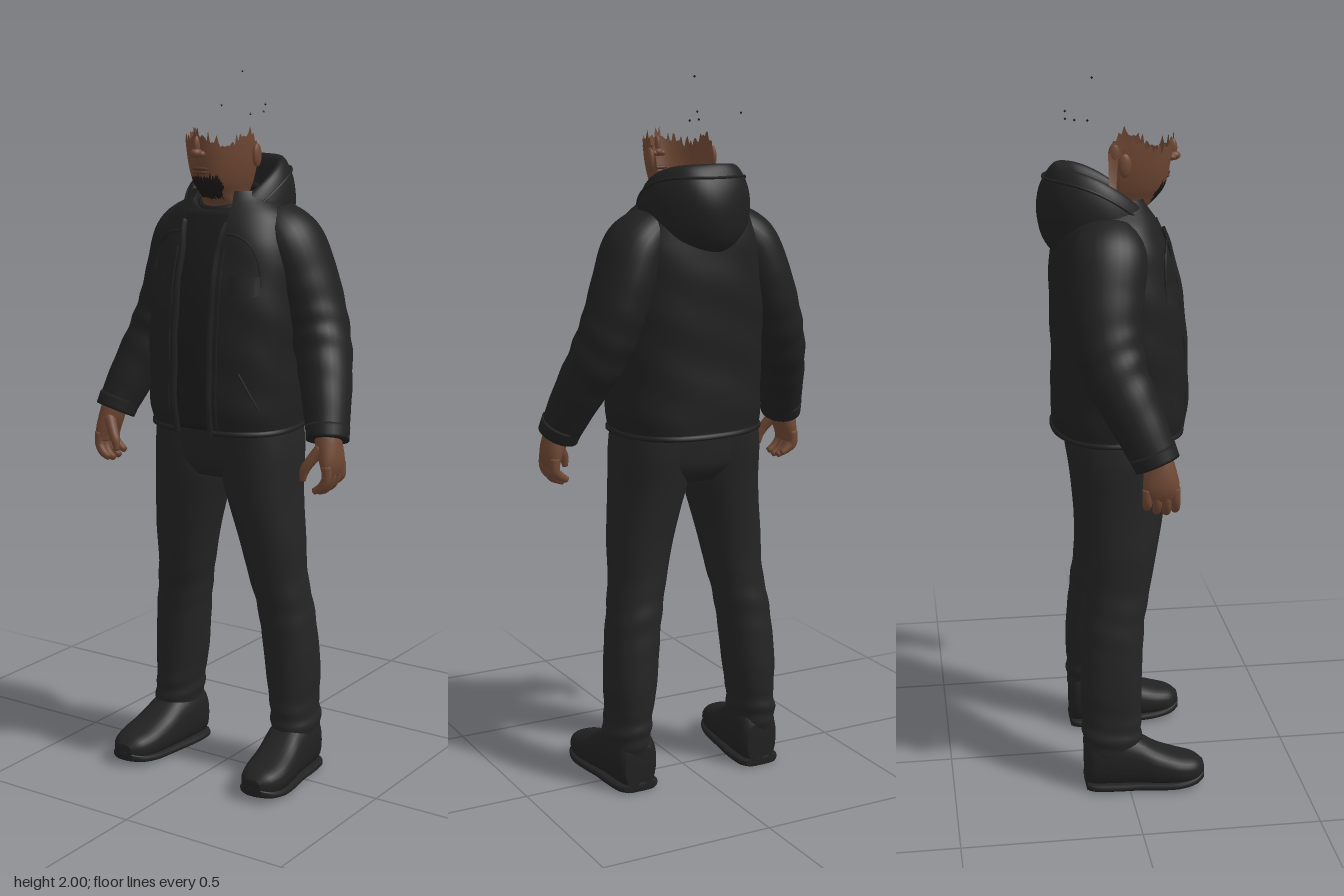
import * as THREE from 'three';

const mat = (name, color) => {
  const m = new THREE.MeshStandardMaterial({ color, side: THREE.DoubleSide });
  m.name = name;
  return m;
};

// Catmull-Rom interpolation through rows of numbers, v in 0..1
function sample(rows, v) {
  const n = rows.length, p = Math.min(Math.max(v, 0), 1) * (n - 1);
  const i = Math.min(Math.floor(p), n - 2), f = p - i;
  return rows[0].map((_, k) => {
    const b = rows[i][k], c = rows[i + 1][k];
    const a = i > 0 ? rows[i - 1][k] : b, d = i + 2 < n ? rows[i + 2][k] : c;
    return b + 0.5 * f * (c - a + f * (2 * a - 5 * b + 4 * c - d + f * (3 * (b - c) + d - a)));
  });
}

// Surface from a rule f(u, v) -> [x, y, z]; pick() sends faces to a second material
function grid(f, nu, nv, closed = false, pick = null) {
  const pos = [], main = [], other = [], w = closed ? nu : nu + 1;
  for (let j = 0; j <= nv; j++) for (let i = 0; i < w; i++) pos.push(...f(i / nu, j / nv));
  for (let j = 0; j < nv; j++) for (let i = 0; i < nu; i++) {
    const a = j * w + i, b = j * w + (i + 1) % w, c = a + w, d = b + w;
    (pick && pick(i / nu, j / nv) ? other : main).push(a, b, d, a, d, c);
  }
  const g = new THREE.BufferGeometry();
  g.setAttribute('position', new THREE.Float32BufferAttribute(pos, 3));
  g.setIndex([...main, ...other]);
  if (pick) { g.addGroup(0, main.length, 0); g.addGroup(main.length, other.length, 1); }
  g.computeVertexNormals();
  return g;
}

const pw = (s, e) => Math.sign(s) * Math.abs(s) ** (2 / e);

// Closed, capped body along rows of [x, y, z, sideRadius, frontRadius]
function body(rows, { cols = 28, steps = 30, e = 2, axis = null, ref = [0, 0, 1], bump = () => 0 } = {}) {
  const R = new THREE.Vector3(...ref);
  return grid((u, j) => {
    const k = Math.round(j * (steps + 2)), cap = k === 0 || k === steps + 2;
    const v = Math.min(Math.max(k - 1, 0), steps) / steps;
    const [x, y, z, a, b] = sample(rows, v);
    const p = sample(rows, v - 0.02), q = sample(rows, v + 0.02);
    const T = axis ? new THREE.Vector3(...axis) : new THREE.Vector3(q[0] - p[0], q[1] - p[1], q[2] - p[2]).normalize();
    const N = R.clone().addScaledVector(T, -R.dot(T)).normalize();
    const S = new THREE.Vector3().crossVectors(T, N);
    const t = u * Math.PI * 2, r = cap ? 0 : 1 + bump(t, v);
    return new THREE.Vector3(x, y, z).addScaledVector(S, a * r * pw(Math.sin(t), e))
      .addScaledVector(N, b * r * pw(Math.cos(t), e)).toArray();
  }, cols, steps + 2, true);
}

function flip(geo) {
  const g = geo.clone().scale(-1, 1, 1), ix = g.index.array;
  for (let i = 0; i < ix.length; i += 3) [ix[i], ix[i + 1]] = [ix[i + 1], ix[i]];
  g.computeVertexNormals();
  return g;
}

// Jacket surface: rows of [halfWidth, front, back] every 0.06 from y 1.02 to 1.68
const jacketRows = [[.212, .172, -.183], [.22, .183, -.188], [.22, .185, -.187], [.22, .184, -.186],
  [.222, .182, -.187], [.223, .178, -.189], [.222, .172, -.191], [.22, .162, -.191],
  [.215, .148, -.188], [.205, .13, -.182], [.175, .105, -.168], [.11, .07, -.14]];
function jacketPoint(t, y, off = 0) {
  const [rx, f, b] = sample(jacketRows, (y - 1.02) / .66), c = (f + b) / 2;
  const fold = .003 * Math.sin(3 * t + y * 24) * Math.sin(y * 17 + t);
  return [(rx + off + fold) * pw(Math.sin(t), 2.4), y, c + ((f - b) / 2 + off + fold) * pw(Math.cos(t), 2.4)];
}
const gap = y => .2 + .3 * Math.max(0, (y - 1.5) / .18) ** 2;

// Head surface: rows of [halfWidth, front] every 0.03 from y 1.58 to 1.88
const headRows = [[.07, .06], [.068, .062], [.066, .07], [.062, .102], [.073, .126], [.082, .136],
  [.088, .142], [.091, .147], [.093, .151], [.093, .153], [.09, .152]];
function headPoint(t, y) {
  const [rx, f] = sample(headRows, (y - 1.58) / .3), c = Math.cos(t);
  return [rx * Math.sin(t), y, c > 0 ? f * pw(c, 2.2) : .08 * c];
}

export function createModel() {
  const model = new THREE.Group();
  const jacketMat = mat('jacket black', 0x202020), shirtMat = mat('shirt black', 0x1c1c1d);
  const trouserMat = mat('trouser charcoal', 0x242425), shoeMat = mat('shoe black', 0x212121);
  const skinMat = mat('skin brown', 0x6e4733), beardMat = mat('beard black', 0x1c1918);
  const lipMat = mat('lip brown', 0x593629);

  const add = (name, geo, m) => {
    const mesh = new THREE.Mesh(geo, m);
    mesh.name = name;
    model.add(mesh);
    return mesh;
  };
  const pair = (name, geo, m) => { add('left' + name, geo, m); add('right' + name, flip(geo), m); };
  const cord = (pts, r, n = 40, closed = false) => new THREE.TubeGeometry(
    new THREE.CatmullRomCurve3(pts.map(p => new THREE.Vector3(...p)), closed), n, r, 6, closed);

  // Trousers: hips and two creased legs
  add('hips', body([[0, .885, -.005, .1, .1], [0, .93, -.01, .19, .128], [0, 1, -.01, .212, .138],
    [0, 1.08, -.008, .208, .145]], { e: 2.5, axis: [0, 1, 0], steps: 14, cols: 40 }), trouserMat);
  pair('TrouserLeg', body([
    [.207, .11, -.045, .058, .078], [.206, .16, -.046, .064, .085], [.2, .22, -.046, .063, .085],
    [.195, .3, -.047, .072, .087], [.187, .4, -.042, .075, .086], [.175, .5, -.034, .076, .085],
    [.157, .6, -.02, .079, .09], [.145, .7, -.011, .089, .1], [.128, .8, -.006, .098, .114],
    [.115, .88, -.006, .107, .124], [.111, .97, -.01, .108, .134], [.108, 1.05, -.01, .1, .138]],
    { axis: [0, 1, 0], steps: 90, cols: 32, e: 2.2,
      bump: (t, v) => .03 * Math.sin(v * 75 + 2 * Math.sin(t + 1)) * (Math.exp(-((v - .1) ** 2) / .01) + .6 * Math.exp(-((v - .46) ** 2) / .006)) }),
  trouserMat);

  // Shoes: upper swept from heel to toe, with a slightly wider sole
  const shoeRows = [[.2, .07, -.122, .045, .062], [.2, .085, -.1, .06, .083], [.203, .09, -.04, .065, .088],
    [.208, .08, .02, .064, .078], [.216, .064, .08, .066, .058], [.222, .054, .14, .066, .045],
    [.224, .049, .19, .052, .036], [.224, .046, .217, .025, .02]];
  pair('Shoe', body(shoeRows, { axis: [0, 0, 1], ref: [0, 1, 0], e: 2.5, steps: 36 }), shoeMat);
  pair('Sole', body(shoeRows.map(([x, y, z, a], i) => [x, [.013, .013, .013, .014, .015, .018, .024, .032][i], z, a + .004, .013]),
    { axis: [0, 0, 1], ref: [0, 1, 0], e: 3.5, steps: 36 }), shoeMat);

  // Shirt seen through the open jacket, and its neckband
  add('shirt', body(jacketRows.slice(0, 11).map(([rx, f, b], i) =>
    [0, 1.03 + i * .06, (f + b) / 2, rx - .014, (f - b) / 2 - .013]), { axis: [0, 1, 0], e: 2.4, cols: 48 }), shirtMat);
  add('shirtCollar', cord([0, 1, 2, 3, 4, 5, 6, 7].map(i => {
    const t = i * Math.PI / 4;
    return [.078 * Math.sin(t), 1.655 - .028 * Math.cos(t), -.01 + .088 * Math.cos(t)];
  }), .011, 48, true), shirtMat);

  // Jacket shell with an open front, its hem and front edges
  add('jacket', grid((u, v) => {
    const y = 1.02 + v * .66, g = gap(y);
    return jacketPoint(g + u * (2 * Math.PI - 2 * g), y);
  }, 90, 44), jacketMat);
  const steps = n => Array.from({ length: n + 1 }, (_, i) => i / n);
  add('hem', cord(steps(40).map(s => jacketPoint(.2 + s * (2 * Math.PI - .4), 1.028, -.002)), .009, 120), jacketMat);
  pair('FrontEdge', cord(steps(16).map(s => jacketPoint(gap(1.02 + s * .58), 1.02 + s * .58, .001)), .009, 60), jacketMat);
  pair('ZipBand', cord(steps(12).map(s => jacketPoint(gap(1.03 + s * .5) + .09, 1.03 + s * .5)), .003, 50), jacketMat);

  // Chest flaps, yoke seams and pocket seams
  pair('PocketFlap', grid((u, v) => jacketPoint(.4 + u * .5, 1.415 + v * .045 - .012 * Math.sin(u * Math.PI) * (1 - v),
    .008 * Math.min(1, 3 * Math.min(u, 1 - u) + .3)), 14, 5), jacketMat);
  pair('YokeSeam', cord(steps(10).map(s => jacketPoint(.32 + .55 * Math.sin(s * 1.57), 1.57 - .14 * s * s, .001)), .004), jacketMat);
  pair('SidePocketSeam', cord(steps(6).map(s => jacketPoint(.6 + .3 * s, 1.2 - .1 * s, .001)), .003), jacketMat);

  // Sleeves with soft folds, and cuffs
  pair('Sleeve', body([[.12, 1.6, -.045, .06, .085], [.175, 1.545, -.05, .08, .105], [.212, 1.45, -.062, .084, .104],
    [.25, 1.345, -.063, .08, .095], [.285, 1.25, -.043, .076, .086], [.325, 1.14, .005, .067, .074], [.358, 1.035, .052, .055, .062]],
    { steps: 60, bump: (t, v) => .025 * Math.sin(v * 50 + 2 * Math.cos(t)) * Math.exp(-((v - .65) ** 2) / .04) }), jacketMat);
  pair('Cuff', body([[.352, 1.06, .042, .059, .066], [.36, 1.025, .056, .057, .063]], { steps: 4 }), jacketMat);

  // Lowered hood: outer bag, thick rim and inner lining in one ring
  const hoodRows = [[1.52, -.07, .1, .1], [1.57, -.065, .138, .14], [1.64, -.06, .152, .16], [1.7, -.055, .15, .16],
    [1.75, -.045, .136, .147], [1.77, -.04, .118, .13], [1.75, -.035, .1, .112], [1.69, -.03, .09, .1], [1.6, -.03, .085, .09]];
  add('hood', grid((u, v) => {
    const [y, cz, rx, rz] = sample(hoodRows, v), t = u * Math.PI * 2;
    const z = cz + rz * Math.cos(t) + .003 * Math.sin(5 * t + v * 9);
    return [rx * pw(Math.sin(t), 2.1), y - .15 * ((z + .19) / .28) ** 2, z];
  }, 56, 40, true), jacketMat);
  add('hoodRimSeam', cord(steps(23).slice(0, 23).map(s => {
    const t = s * Math.PI * 2, z = -.05 + .155 * Math.cos(t);
    return [.144 * Math.sin(t), 1.735 - .15 * ((z + .19) / .28) ** 2, z];
  }), .004, 80, true), jacketMat);

  // Hands: palm, four curled fingers and a thumb
  pair('Palm', body([[.358, 1.06, .056, .03, .034], [.366, 1.02, .06, .035, .042], [.38, .97, .063, .028, .049],
    [.381, .935, .065, .017, .045]], { steps: 16, cols: 20 }), skinMat);
  [.025, .051, .077, .101].forEach((z, i) => {
    const d = [.014, .003, 0, .006][i];
    pair('Finger' + (i + 1), body([[.384, .965, z, .014, .013], [.385, .93, z, .014, .013],
      [.371, .9 + d, z + .002, .013, .012], [.348, .886 + d, z + .003, .009, .009]], { steps: 12, cols: 12 }), skinMat);
  });
  pair('Thumb', body([[.36, 1.01, .085, .018, .018], [.333, .97, .103, .015, .015], [.32, .945, .109, .013, .013],
    [.316, .918, .11, .008, .008]], { steps: 12, cols: 12 }), skinMat);

  // Open face shell with a ragged upper edge; chin beard is a separate colour
  let seed = 7;
  const rand = () => (seed = (seed * 16807) % 2147483647) / 2147483647;
  const cols = 80, jag = Array.from({ length: cols + 1 }, () => rand() ** 2 * .035);
  const angle = u => (u - .5) * 3.5;
  const height = (u, v) => {
    const t = angle(u), a = Math.abs(t);
    const top = 1.812 + .014 * Math.cos(4 * t) + jag[Math.round(u * cols)] - .2 * Math.max(0, a - 1.45);
    return 1.58 + v * (top - 1.58);
  };
  add('face', grid((u, v) => headPoint(angle(u), height(u, v)), cols, 44, false, (u, v) => {
    const y = height(u, v);
    return y > 1.658 && y < 1.718 && Math.abs(angle(u)) < .72 - 5 * Math.abs(y - 1.69);
  }), [skinMat, beardMat]);
  const blob = (name, [x, y, z], [a, b, c], m) =>
    add(name, new THREE.SphereGeometry(1, 18, 12).scale(a, b, c).translate(x, y, z), m);
  blob('noseTip', [0, 1.785, .152], [.015, .013, .02], skinMat);
  blob('noseBridge', [0, 1.805, .15], [.009, .026, .013], skinMat);
  blob('upperLip', [0, 1.742, .136], [.025, .006, .007], lipMat);
  blob('lowerLip', [0, 1.732, .134], [.021, .006, .007], lipMat);
  for (const s of [-1, 1]) {
    blob(s > 0 ? 'leftNostril' : 'rightNostril', [s * .013, 1.782, .146], [.01, .009, .012], skinMat);
    blob(s > 0 ? 'leftEar' : 'rightEar', [s * .097, 1.775, .005], [.01, .032, .018], skinMat);
  }

  // Loose hair flecks above the head
  [[0, 1.996, -.07], [.03, 1.905, -.14], [-.11, 1.9, -.13], [.025, 1.885, -.14], [.02, 1.88, -.08]].forEach(([x, y, z], i) =>
    add('hairFleck' + (i + 1), new THREE.OctahedronGeometry(.004).translate(x, y, z), beardMat));

  return model;
}
